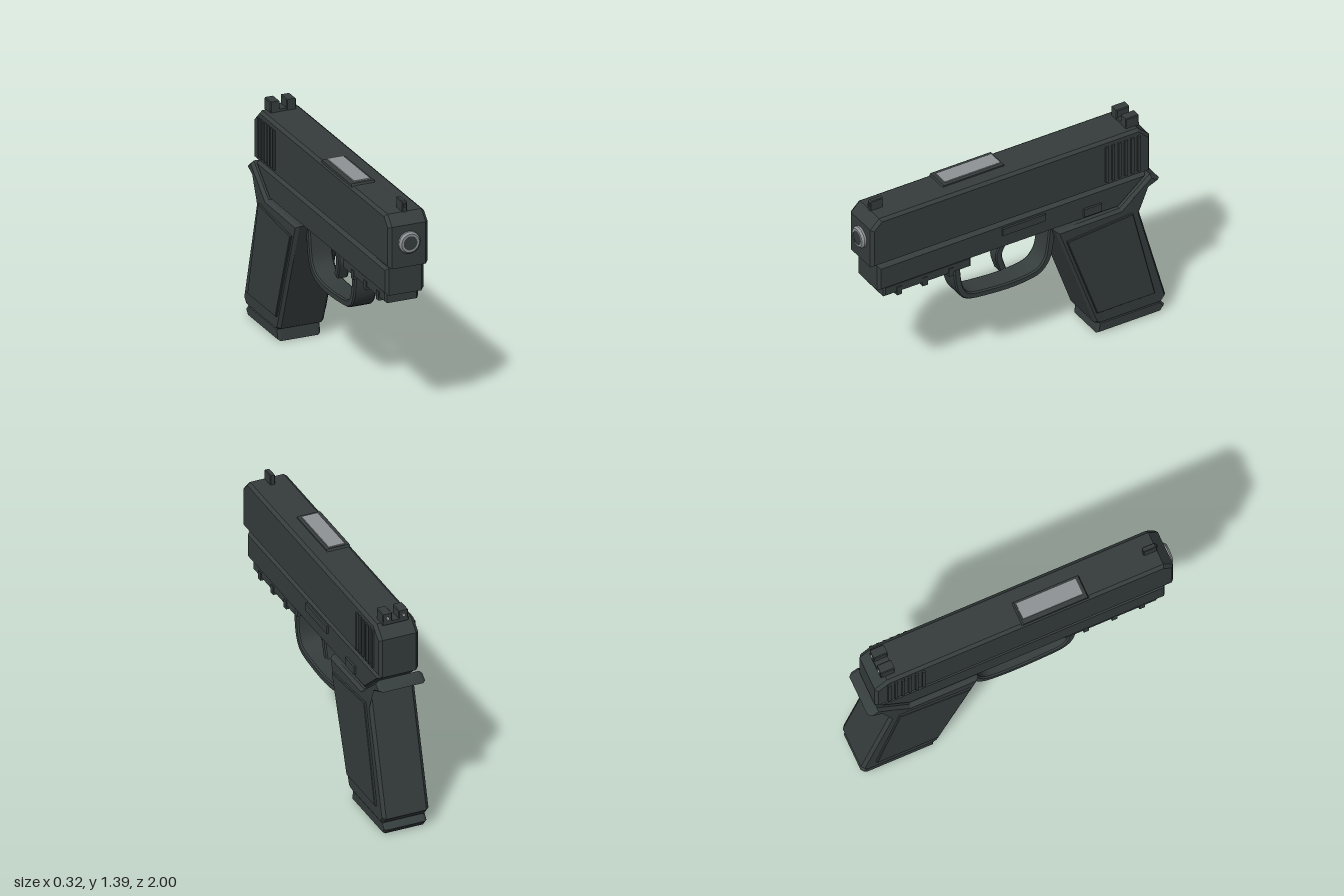
import * as THREE from 'three';
import { toCreasedNormals } from 'three/addons/utils/BufferGeometryUtils.js';

export function createModel() {
  const model = new THREE.Group();
  model.name = 'pistol';

  const mat = (name, color) => Object.assign(new THREE.MeshStandardMaterial({ color }), { name });
  const body = mat('darkPolymer', 0x363d3d);
  const metal = mat('bareMetal', 0x8f9396);
  const dotWhite = mat('sightDot', 0xb4b8b8);

  const add = (name, geometry, material = body) => {
    const mesh = new THREE.Mesh(geometry, material);
    mesh.name = name;
    model.add(mesh);
    return mesh;
  };

  // Box given by its limits on each axis
  const box = (name, x0, x1, y0, y1, z0, z1, material) => {
    const mesh = add(name, new THREE.BoxGeometry(x1 - x0, y1 - y0, z1 - z0), material);
    mesh.position.set((x0 + x1) / 2, (y0 + y1) / 2, (z0 + z1) / 2);
    return mesh;
  };

  // Side profile of [z, y] points, extruded across x with chamfered edges
  const profile = (name, points, x0, x1, bevelX = 0.02, bevelSize = 0.015) => {
    const shape = new THREE.Shape(points.map(([z, y]) => new THREE.Vector2(-z, y)));
    const geo = new THREE.ExtrudeGeometry(shape, {
      depth: x1 - x0 - 2 * bevelX, bevelEnabled: true, bevelSegments: 1,
      bevelThickness: bevelX, bevelSize, bevelOffset: -bevelSize,
    });
    geo.translate(0, 0, x0 + bevelX);
    geo.rotateY(Math.PI / 2);
    return add(name, toCreasedNormals(geo, 0.45));
  };

  // Outline of constant thickness around a smooth centre line
  const strip = (points, half, steps) => {
    const curve = new THREE.SplineCurve(points.map(([z, y]) => new THREE.Vector2(z, y)));
    const a = [], b = [];
    for (let i = 0; i <= steps; i++) {
      const p = curve.getPointAt(i / steps), t = curve.getTangentAt(i / steps);
      a.push([p.x - t.y * half, p.y + t.x * half]);
      b.unshift([p.x + t.y * half, p.y - t.x * half]);
    }
    return [...a, ...b];
  };

  // Slide with chamfered ends
  profile('slide', [
    [0.975, 1.005], [0.975, 1.265], [0.915, 1.325], [-0.825, 1.325],
    [-0.902, 1.255], [-0.902, 1.005],
  ], -0.126, 0.126);

  // Grip serrations on both sides of the slide
  for (const s of [-1, 1]) {
    for (let i = 0; i < 6; i++) {
      const z = -0.604 - i * 0.043;
      const bar = box('slideSerration', -0.008, 0.008, 1.04, 1.285, z - 0.009, z + 0.009);
      bar.position.x = s * 0.129;
    }
  }

  // Ejection port
  profile('ejectionPortFrame', [
    [0.447, 1.315], [0.435, 1.337], [0.03, 1.337], [0.015, 1.315],
  ], -0.117, 0.03, 0.006, 0.003);
  box('ejectionPort', -0.09, 0.012, 1.336, 1.344, 0.04, 0.415, metal);

  // Barrel end and bore
  const barrel = add('barrel', toCreasedNormals(new THREE.LatheGeometry([
    [0.067, 0.96], [0.067, 0.988], [0.056, 1], [0.043, 1],
  ].map(([r, z]) => new THREE.Vector2(r, z)), 32), 0.45), metal);
  barrel.rotation.x = Math.PI / 2;
  barrel.position.y = 1.158;
  const bore = add('bore', new THREE.CircleGeometry(0.044, 32));
  bore.position.set(0, 1.158, 0.998);

  // Sights
  profile('frontSight', [
    [0.918, 1.32], [0.918, 1.38], [0.908, 1.388], [0.833, 1.388], [0.833, 1.32],
  ], -0.015, 0.015, 0.004, 0.004);
  box('rearSightBase', -0.08, 0.08, 1.32, 1.34, -0.85, -0.765);
  for (const s of [-1, 1]) {
    const c = s * 0.051;
    profile('rearSight', [
      [-0.763, 1.32], [-0.763, 1.392], [-0.85, 1.392], [-0.85, 1.32],
    ], c - 0.03, c + 0.03, 0.005, 0.005);
  }
  const sightDot = (x, z, material) => {
    const dot = add('sightDot', new THREE.CylinderGeometry(0.009, 0.009, 0.009, 16), material);
    dot.rotation.x = Math.PI / 2;
    dot.position.set(x, 1.362, z);
  };
  sightDot(0, 0.921, body);
  sightDot(-0.05, -0.853, dotWhite);
  sightDot(0.05, -0.853, dotWhite);

  // Frame under the slide
  profile('frame', [
    [0.926, 0.822], [0.926, 0.992], [-0.88, 0.992], [-0.69, 0.822],
  ], -0.122, 0.122);

  // Grip with the rear tang
  profile('grip', [
    [-0.26, 0.815], [-0.69, 0.822], [-0.895, 0.99], [-0.957, 0.942], [-0.79, 0.866],
    [-0.998, 0.113], [-0.962, 0.07], [-0.55, 0.07], [-0.518, 0.085],
  ], -0.147, 0.147);

  // Raised grip panels
  for (const s of [-1, 1]) {
    const c = s * 0.15;
    profile('gripPanel', [
      [-0.32, 0.737], [-0.764, 0.775], [-0.912, 0.163], [-0.523, 0.163],
    ], c - 0.011, c + 0.011, 0.004, 0.004);
  }

  // Magazine base plate
  profile('magazineBase', [
    [-0.548, 0.075], [-0.963, 0.075], [-0.995, 0.038], [-0.965, 0], [-0.538, 0],
  ], -0.134, 0.134, 0.015, 0.01);

  // Accessory rail with cross ribs
  profile('rail', [
    [0.88, 0.83], [0.88, 0.758], [0.293, 0.758], [0.293, 0.83],
  ], -0.105, 0.105, 0.012, 0.01);
  for (const z of [0.78, 0.607, 0.43]) {
    box('railRib', -0.11, 0.11, 0.745, 0.8, z - 0.017, z + 0.017);
  }

  // Trigger guard
  profile('triggerGuard', strip([
    [0.367, 0.8], [0.36, 0.668], [0.335, 0.577], [0.28, 0.528], [0.14, 0.509], [0, 0.503],
    [-0.115, 0.512], [-0.19, 0.534], [-0.24, 0.593], [-0.26, 0.668], [-0.277, 0.81],
  ], 0.022, 40), -0.072, 0.072, 0.01, 0.007);

  // Trigger
  profile('trigger', strip([
    [0.005, 0.83], [0.02, 0.8], [0.055, 0.74], [0.062, 0.69], [0.035, 0.6],
  ], 0.022, 14), -0.036, 0.036, 0.008, 0.006);

  // Controls on the left side
  box('slideRelease', 0.11, 0.135, 0.92, 0.967, -0.192, 0.098);
  box('magazineButton', 0.11, 0.135, 0.85, 0.903, -0.57, -0.45);

  return model;
}
